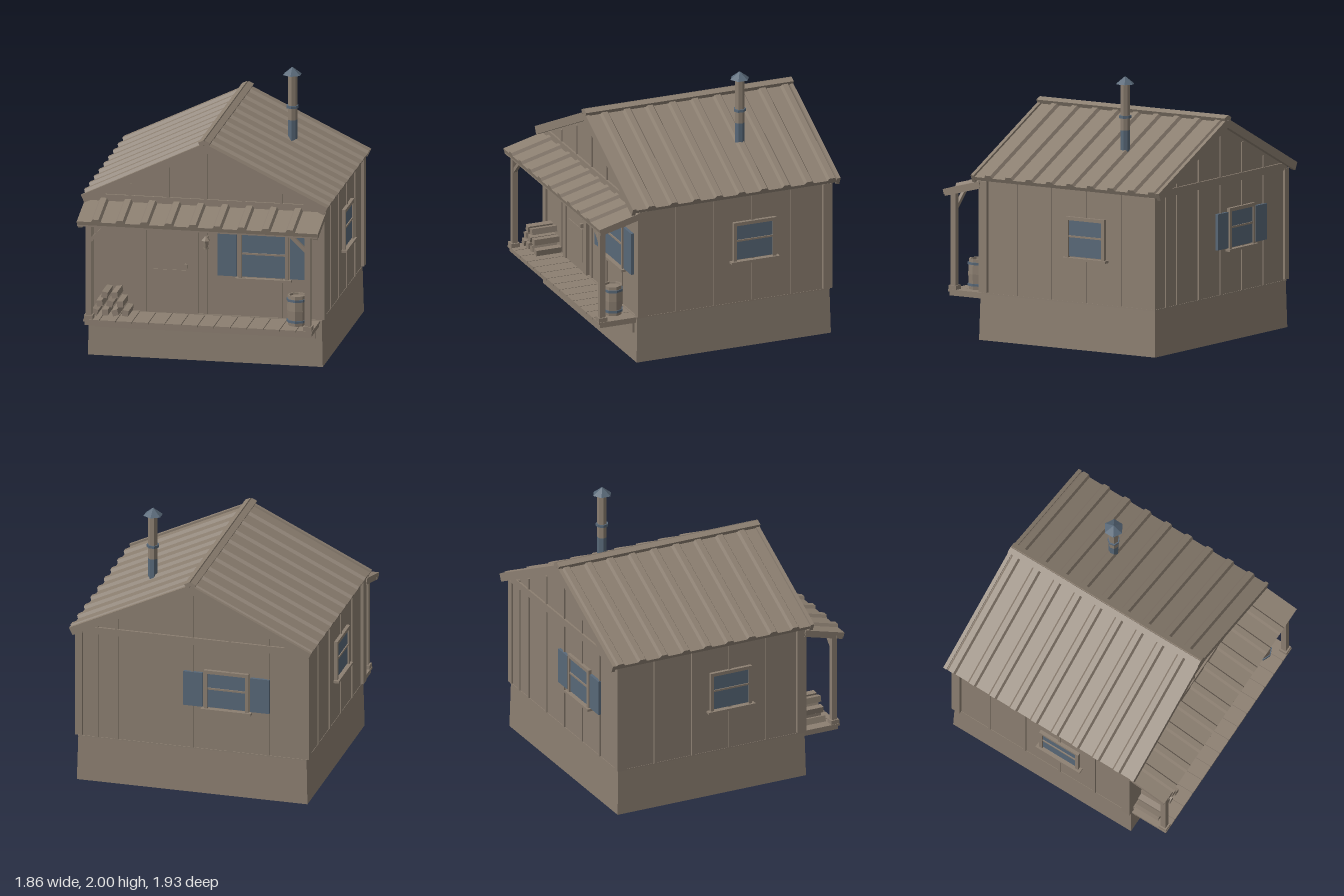
import * as THREE from 'three';

const wood = new THREE.MeshStandardMaterial({ color: 0x8c7f71, side: THREE.DoubleSide, flatShading: true });
wood.name = 'weathered wood';
const slate = new THREE.MeshStandardMaterial({ color: 0x586878, side: THREE.DoubleSide, flatShading: true });
slate.name = 'slate blue';

const PITCH = Math.atan(0.48);

function add(parent, name, geo, mat = wood, x = 0, y = 0, z = 0) {
  const m = new THREE.Mesh(geo, mat);
  m.name = name;
  m.position.set(x, y, z);
  parent.add(m);
  return m;
}

// Box given by its limits on each axis
function box(parent, name, x0, x1, y0, y1, z0, z1, mat = wood) {
  return add(parent, name, new THREE.BoxGeometry(x1 - x0, y1 - y0, z1 - z0), mat,
    (x0 + x1) / 2, (y0 + y1) / 2, (z0 + z1) / 2);
}

function cyl(parent, name, rTop, rBottom, y0, y1, sides, mat, x, z) {
  return add(parent, name, new THREE.CylinderGeometry(rTop, rBottom, y1 - y0, sides), mat, x, (y0 + y1) / 2, z);
}

// Ribbed sheet: profile across u, thickness along v, extruded downslope along w
function ribbedSheet(parent, name, u0, u1, ribs, length, origin, w, v) {
  const s = new THREE.Shape();
  s.moveTo(u0, -0.028);
  s.lineTo(u0, 0);
  for (const c of [...ribs].sort((a, b) => a - b)) {
    s.lineTo(c - 0.036, 0);
    s.lineTo(c - 0.022, 0.022);
    s.lineTo(c + 0.022, 0.022);
    s.lineTo(c + 0.036, 0);
  }
  s.lineTo(u1, 0);
  s.lineTo(u1, -0.028);
  const geo = new THREE.ExtrudeGeometry(s, { depth: length, bevelEnabled: false });
  const u = new THREE.Vector3().crossVectors(v, w);
  geo.applyMatrix4(new THREE.Matrix4().makeBasis(u, v, w).setPosition(origin));
  return add(parent, name, geo);
}

// Sash window on a wall facing local +z
function makeWindow(parent, name, w, y0, y1, { header = false, shutters = false } = {}) {
  const g = new THREE.Group();
  g.name = name;
  const h = w / 2, f = 0.026;
  box(g, 'windowGlass', -h, h, y0, y1, 0.008, 0.014, slate);
  for (const s of [-1, 1]) {
    box(g, 'windowJamb', s * (h + f / 2) - f / 2, s * (h + f / 2) + f / 2, y0 - 0.01, y1 + f, 0, 0.026);
    if (shutters) box(g, 'shutter', s * (h + 0.112) - 0.073, s * (h + 0.112) + 0.073, y0, y1, 0, 0.022, slate);
  }
  box(g, 'windowHead', -h, h, y1, y1 + f, 0, 0.026);
  box(g, 'windowRail', -h, h, (y0 + y1) / 2 + 0.008, (y0 + y1) / 2 + 0.022, 0, 0.022);
  box(g, 'windowSill', -h - 0.048, h + 0.048, y0 - 0.026, y0 - 0.008, 0, 0.042);
  if (header) box(g, 'windowHeader', -h - 0.058, h + 0.058, y1 + 0.032, y1 + 0.056, 0, 0.04);
  parent.add(g);
  return g;
}

export function createModel() {
  const root = new THREE.Group();
  root.name = 'cabin';
  const XW = 0.875, ZF = 0.635, ZB = -0.895;

  // Hollow foundation skirt and floor ledge
  const skirt = new THREE.CylinderGeometry(0.7, Math.SQRT1_2, 0.35, 4, 1, true).rotateY(Math.PI / 4).scale(1.77, 1, 1.56);
  add(root, 'foundationSkirt', skirt, wood, 0, 0.175, -0.125);
  box(root, 'floor', -0.878, 0.878, 0.344, 0.354, -0.9, 0.648);

  // Gabled walls
  const wall = new THREE.Shape([[-XW, 0.35], [XW, 0.35], [XW, 1.205], [0, 1.625], [-XW, 1.205]].map(p => new THREE.Vector2(...p)));
  add(root, 'walls', new THREE.ExtrudeGeometry(wall, { depth: ZF - ZB, bevelEnabled: false }), wood, 0, 0, ZB);

  // Battens, gable bands and corner boards
  for (const [z0, z1, xs] of [[ZF, ZF + 0.01, [-0.57, -0.285, 0, 0.285, 0.57]], [ZB - 0.01, ZB, [-0.58, -0.29, 0, 0.29, 0.58, 0.73]]]) {
    for (const x of xs) box(root, 'endBatten', x - 0.011, x + 0.011, 0.355, 1.6 - 0.48 * Math.abs(x), z0, z1);
    box(root, 'gableBand', -XW, XW, 1.18, 1.235, z0 - 0.005, z1 + 0.005);
  }
  for (const s of [-1, 1]) {
    for (const z of [0.33, 0.025, -0.28, -0.59]) {
      box(root, 'sideBatten', s * XW - 0.01, s * XW + 0.01, 0.355, 1.195, z - 0.011, z + 0.011);
    }
    for (const z of [ZF - 0.02, ZB + 0.02]) {
      box(root, 'cornerBoard', s * 0.87 - 0.028, s * 0.87 + 0.028, 0.36, 1.19, z - 0.036, z + 0.036);
    }
  }

  // Main roof slopes with rake boards
  const ribs = Array.from({ length: 9 }, (_, i) => 0.55 - 0.181 * i);
  const c = Math.cos(PITCH), sn = Math.sin(PITCH), len = 0.92 / c;
  for (const s of [-1, 1]) {
    const dir = s > 0 ? -1 : 1;
    const ends = [0.7 * dir, -0.963 * dir].sort((a, b) => a - b);
    ribbedSheet(root, 'roofSlope', ends[0], ends[1], ribs.map(z => z * dir), len,
      new THREE.Vector3(0, 1.662, 0), new THREE.Vector3(s * c, -sn, 0), new THREE.Vector3(s * sn, c, 0));
    for (const z of [0.688, -0.951]) {
      const rake = add(root, 'rakeBoard', new THREE.BoxGeometry(len, 0.062, 0.028), wood,
        s * (0.463 - 0.018 * sn), 1.662 - 0.222 - 0.014, z);
      rake.rotation.z = -s * PITCH;
    }
    // Folded ridge cap
    const cap = add(root, 'ridgeCap', new THREE.BoxGeometry(0.045, 0.032, 1.668), wood, s * 0.018, 1.679, -0.131);
    cap.rotation.z = -s * PITCH;
  }

  // Stovepipe with collar and conical cap
  const px = 0.455, pz = -0.355;
  cyl(root, 'pipeBase', 0.037, 0.037, 1.42, 1.6, 7, slate, px, pz);
  cyl(root, 'pipe', 0.037, 0.037, 1.6, 1.955, 7, wood, px, pz);
  cyl(root, 'pipeCollar', 0.047, 0.047, 1.69, 1.71, 7, slate, px, pz);
  cyl(root, 'pipeCap', 0.004, 0.074, 1.945, 2, 6, slate, px, pz);

  // Porch deck: planks over a rim, with a ledger on the foundation
  const pitchP = Math.atan(0.26), cp = Math.cos(pitchP), sp = Math.sin(pitchP);
  box(root, 'deckFrame', -0.855, 0.855, 0.305, 0.338, 0.64, 0.935);
  const plankW = 1.73 / 14;
  for (let i = 0; i < 14; i++) {
    const x = -0.865 + i * plankW;
    box(root, 'deckPlank', x + 0.003, x + plankW - 0.003, 0.334, 0.35, 0.64, 0.947);
  }
  box(root, 'deckLedger', -0.83, 0.83, 0.22, 0.305, 0.64, 0.665);

  // Porch roof, rafters, beam, posts and braces
  ribbedSheet(root, 'porchRoof', -0.908, 0.908, Array.from({ length: 9 }, (_, i) => -0.765 + 0.183 * i), 0.33,
    new THREE.Vector3(0, 1.187, 0.643), new THREE.Vector3(0, -sp, cp), new THREE.Vector3(0, cp, sp));
  box(root, 'porchBeam', -0.905, 0.905, 1.066, 1.1, 0.9, 0.955);
  for (const s of [-1, 1]) {
    const rafter = add(root, 'porchRafter', new THREE.BoxGeometry(0.035, 0.05, 0.32), wood, s * 0.885, 1.118, 0.798);
    rafter.rotation.x = pitchP;
    box(root, 'porchPost', s * 0.825 - 0.021, s * 0.825 + 0.021, 0.35, 1.085, 0.89, 0.932);
    box(root, 'postFoot', s * 0.825 - 0.033, s * 0.825 + 0.033, 0.35, 0.382, 0.878, 0.944);
    const brace = add(root, 'postBrace', new THREE.BoxGeometry(0.026, 0.185, 0.026), wood, s * 0.752, 1.012, 0.911);
    brace.rotation.z = s * 0.8;
  }

  // Front door with raised panels
  const door = new THREE.Group();
  door.name = 'door';
  root.add(door);
  box(door, 'doorLeaf', -0.45, -0.105, 0.355, 1.1, ZF, ZF + 0.016);
  box(door, 'doorPanelTop', -0.405, -0.145, 0.76, 1.01, ZF, ZF + 0.022);
  box(door, 'doorPanelBottom', -0.405, -0.145, 0.425, 0.685, ZF, ZF + 0.022);
  for (const x of [-0.465, -0.08]) box(door, 'doorJamb', x - 0.025, x + 0.025, 0.355, 1.12, ZF, ZF + 0.026);
  box(door, 'doorHead', -0.49, -0.055, 1.1, 1.15, ZF, ZF + 0.03);
  box(door, 'doorKnob', -0.153, -0.13, 0.705, 0.735, ZF, ZF + 0.04);

  // Windows
  makeWindow(root, 'frontWindow', 0.325, 0.66, 0.985, { header: true, shutters: true }).position.set(0.438, 0, ZF);
  const back = makeWindow(root, 'backWindow', 0.29, 0.695, 0.965, { shutters: true });
  back.position.set(-0.265, 0, ZB);
  back.rotation.y = Math.PI;
  for (const [s, z] of [[1, -0.29], [-1, 0.03]]) {
    const side = makeWindow(root, 'sideWindow', 0.29, 0.695, 0.965);
    side.position.set(s * XW, 0, z);
    side.rotation.y = s * Math.PI / 2;
  }

  // Wall lantern
  const lantern = new THREE.Group();
  lantern.name = 'lantern';
  root.add(lantern);
  cyl(lantern, 'lanternRoof', 0.008, 0.035, 0.935, 0.965, 6, wood, 0.012, 0.695);
  cyl(lantern, 'lanternBody', 0.025, 0.016, 0.88, 0.935, 6, wood, 0.012, 0.695);
  cyl(lantern, 'lanternFoot', 0.02, 0.02, 0.87, 0.88, 6, wood, 0.012, 0.695);
  box(lantern, 'lanternBracket', 0.004, 0.02, 0.94, 0.955, ZF, 0.695);

  // Barrel with hoops
  const profile = [[0, 0.35], [0.068, 0.35], [0.076, 0.465], [0.07, 0.58], [0.058, 0.58], [0.056, 0.565], [0, 0.565]];
  add(root, 'barrel', new THREE.LatheGeometry(profile.map(p => new THREE.Vector2(...p)), 8), wood, 0.715, 0, 0.775);
  for (const y of [0.385, 0.545]) cyl(root, 'barrelHoop', 0.079, 0.079, y - 0.009, y + 0.009, 8, slate, 0.715, 0.775);

  // Stacked firewood
  [4, 3, 2].forEach((n, row) => {
    for (let i = 0; i < n; i++) {
      const x = -0.795 + row * 0.037 + i * 0.077;
      const log = add(root, 'firewood', new THREE.BoxGeometry(0.045, 0.045, 0.2), wood, x, 0.386 + row * 0.067, 0.752);
      log.rotation.z = ((i * 2 + row * 3) % 5 - 2) * 0.15;
    }
  });

  return root;
}
